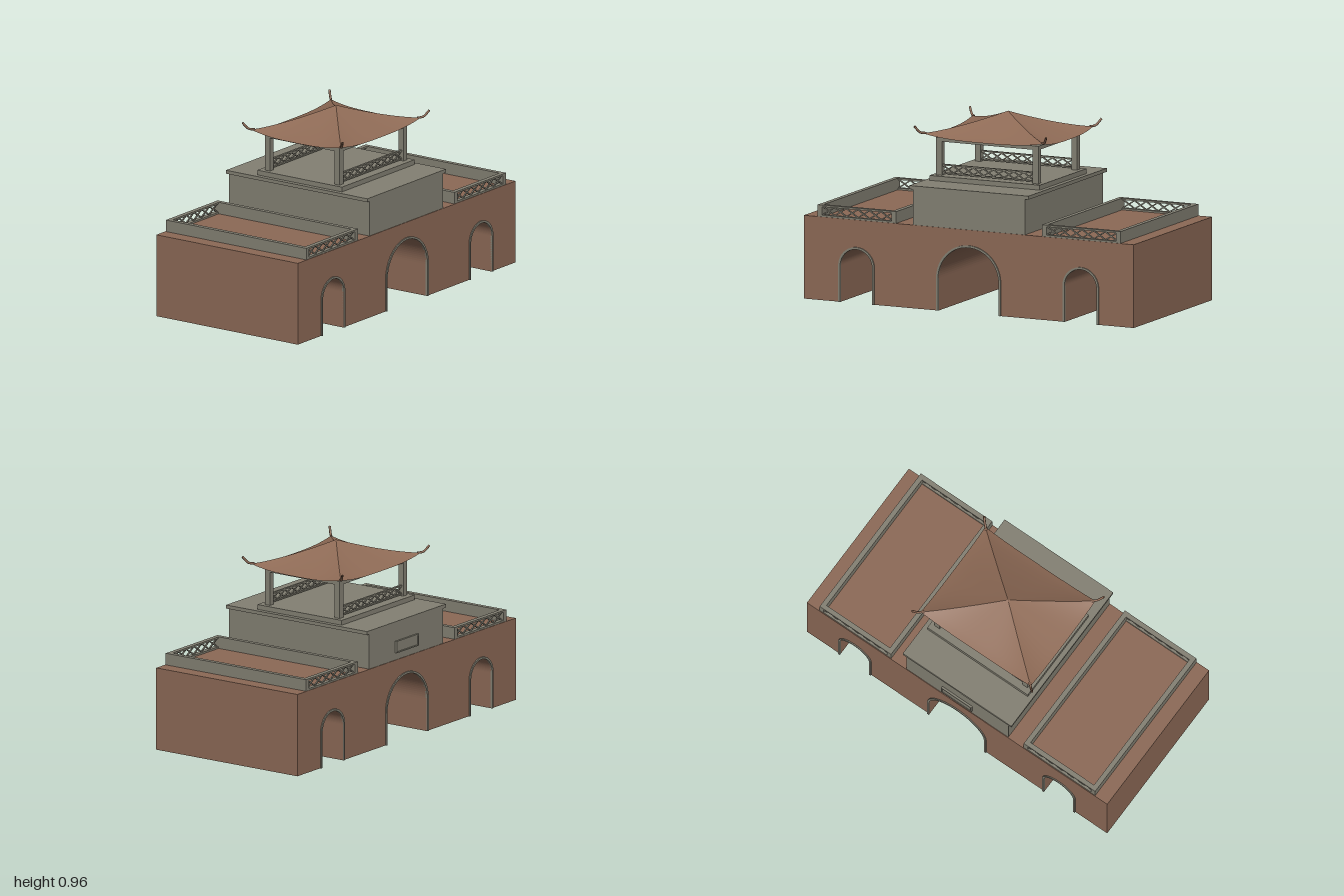
import * as THREE from 'three';

export function createModel() {
  const brick = new THREE.MeshStandardMaterial({ color: 0x8c6956 });
  brick.name = 'brick brown';
  const roofMat = new THREE.MeshStandardMaterial({ color: 0x8f6b56, side: THREE.DoubleSide });
  roofMat.name = 'roof brown';
  const stone = new THREE.MeshStandardMaterial({ color: 0x838073 });
  stone.name = 'stone grey';

  const model = new THREE.Group();
  model.name = 'gateTower';

  function add(parent, name, geometry, material, x = 0, y = 0, z = 0) {
    const mesh = new THREE.Mesh(geometry, material);
    mesh.name = name;
    mesh.position.set(x, y, z);
    parent.add(mesh);
    return mesh;
  }
  // box standing on height y
  function block(parent, name, w, h, d, x, y, z, material = stone) {
    return add(parent, name, new THREE.BoxGeometry(w, h, d), material, x, y + h / 2, z);
  }
  // profile drawn in the z-y plane, extruded symmetrically along x
  function extrudeX(shape, depth) {
    const g = new THREE.ExtrudeGeometry(shape, { depth, bevelEnabled: false, curveSegments: 24 });
    g.translate(0, 0, -depth / 2);
    g.rotateY(-Math.PI / 2);
    return g;
  }

  const HX = 0.44, HZ = 0.927, BASE = 0.425;
  const arches = [
    { z: -0.63, r: 0.09, spring: 0.185 },
    { z: 0, r: 0.17, spring: 0.165 },
    { z: 0.63, r: 0.09, spring: 0.185 },
  ];

  // base with three arched passages
  const wall = new THREE.Shape();
  wall.moveTo(-HZ, BASE);
  wall.lineTo(-HZ, 0);
  for (const a of arches) {
    wall.lineTo(a.z - a.r, 0);
    wall.lineTo(a.z - a.r, a.spring);
    wall.absarc(a.z, a.spring, a.r, Math.PI, 0, true);
    wall.lineTo(a.z + a.r, 0);
  }
  wall.lineTo(HZ, 0);
  wall.lineTo(HZ, BASE);
  add(model, 'base', extrudeX(wall, HX * 2), brick);

  // stone trim around each arch, on both faces
  for (const a of arches) {
    const R = a.r + 0.011;
    const trim = new THREE.Shape();
    trim.moveTo(-R, 0);
    trim.lineTo(-a.r, 0);
    trim.lineTo(-a.r, a.spring);
    trim.absarc(0, a.spring, a.r, Math.PI, 0, true);
    trim.lineTo(a.r, 0);
    trim.lineTo(R, 0);
    trim.lineTo(R, a.spring);
    trim.absarc(0, a.spring, R, 0, Math.PI, false);
    trim.lineTo(-R, 0);
    for (const s of [-1, 1]) {
      add(model, 'archTrim', extrudeX(trim, 0.012), stone, s * HX, 0, a.z);
    }
  }

  // open panel along z: two rails with crossed bars between them
  function lattice(name, length, height, cells, railW, railH, x, y, z) {
    const g = new THREE.Group();
    g.name = name;
    g.position.set(x, y, z);
    block(g, 'topRail', railW, railH, length, 0, height - railH, 0);
    block(g, 'bottomRail', railW, railH, length, 0, 0, 0);
    const cell = length / cells, gap = height - 2 * railH;
    const barLength = Math.hypot(cell, gap), tilt = Math.atan2(gap, cell);
    for (let i = 0; i < cells; i++) {
      for (const s of [-1, 1]) {
        const bar = add(g, 'crossBar', new THREE.BoxGeometry(0.007, 0.006, barLength), stone,
          0, height / 2, -length / 2 + cell * (i + 0.5));
        bar.rotation.x = s * tilt;
      }
    }
    model.add(g);
  }

  // parapets on the two terraces: solid ends, open sides
  for (const s of [-1, 1]) {
    for (const z of [0.422, 0.838]) {
      block(model, 'parapetWall', 0.874, 0.06, 0.025, 0, BASE, s * z);
    }
    for (const x of [-0.4245, 0.4245]) {
      lattice('parapetLattice', 0.392, 0.06, 6, 0.025, 0.009, x, BASE, s * 0.63);
    }
  }

  // gate house body and stepped slabs
  block(model, 'gateHouse', 0.874, 0.182, 0.628, 0, BASE, 0);
  block(model, 'cornice', 0.88, 0.018, 0.67, 0, 0.607, 0);
  block(model, 'pavilionPlatform', 0.526, 0.025, 0.62, 0, 0.625, 0);

  // framed plaque on one side
  block(model, 'plaque', 0.008, 0.055, 0.18, -0.44, 0.465, 0);
  for (const s of [-1, 1]) {
    block(model, 'plaqueFrame', 0.014, 0.006, 0.186, -0.441, s < 0 ? 0.462 : 0.517, 0);
    block(model, 'plaqueFrame', 0.014, 0.061, 0.006, -0.441, 0.462, s * 0.09);
  }

  // pavilion columns, ring beam and side railings
  const CX = 0.217, CZ = 0.271, COL = 0.032;
  for (const s of [-1, 1]) {
    for (const t of [-1, 1]) {
      block(model, 'column', COL, 0.175, COL, s * CX, 0.65, t * CZ);
    }
    block(model, 'sideBeam', COL, 0.02, 2 * CZ + COL, s * CX, 0.822, 0);
    block(model, 'endBeam', 2 * CX - COL, 0.02, COL, 0, 0.822, s * CZ);
    lattice('railing', 2 * CZ - COL, 0.05, 9, 0.012, 0.007, s * CX, 0.656, 0);
  }

  // hipped roof: sagging sides with upswept corners
  const RX = 0.28, RZ = 0.34, ROWS = 14, COLS = 20;
  function roofY(s, t) {
    return 0.842 + 0.121 * Math.pow(1 - s, 1.15) + 0.024 * s * s * Math.pow(Math.abs(t), 3);
  }
  for (let side = 0; side < 4; side++) {
    const sign = side < 2 ? 1 : -1;
    const pos = [], idx = [];
    for (let i = 0; i <= ROWS; i++) {
      for (let j = 0; j <= COLS; j++) {
        const s = i / ROWS, t = (j / COLS) * 2 - 1;
        if (side % 2 === 0) pos.push(sign * t * s * RX, roofY(s, t), sign * s * RZ);
        else pos.push(sign * s * RX, roofY(s, t), -sign * t * s * RZ);
        if (i < ROWS && j < COLS) {
          const a = i * (COLS + 1) + j, b = a + COLS + 1;
          idx.push(a, b, b + 1);
          if (i > 0) idx.push(a, b + 1, a + 1);
        }
      }
    }
    const g = new THREE.BufferGeometry();
    g.setAttribute('position', new THREE.Float32BufferAttribute(pos, 3));
    g.setIndex(idx);
    g.computeVertexNormals();
    add(model, 'roofSide', g, roofMat);
  }

  // upturned horns at the roof corners
  for (const s of [-1, 1]) {
    for (const t of [-1, 1]) {
      const path = new THREE.CatmullRomCurve3([
        new THREE.Vector3(s * 0.268, 0.866, t * 0.326),
        new THREE.Vector3(s * 0.289, 0.871, t * 0.348),
        new THREE.Vector3(s * 0.311, 0.903, t * 0.37),
      ]);
      add(model, 'roofHorn', new THREE.TubeGeometry(path, 8, 0.006, 8), roofMat);
    }
  }

  // the building stands turned on its site
  model.rotation.y = THREE.MathUtils.degToRad(12.45);
  const root = new THREE.Group();
  root.name = 'gate';
  root.add(model);
  return root;
}
